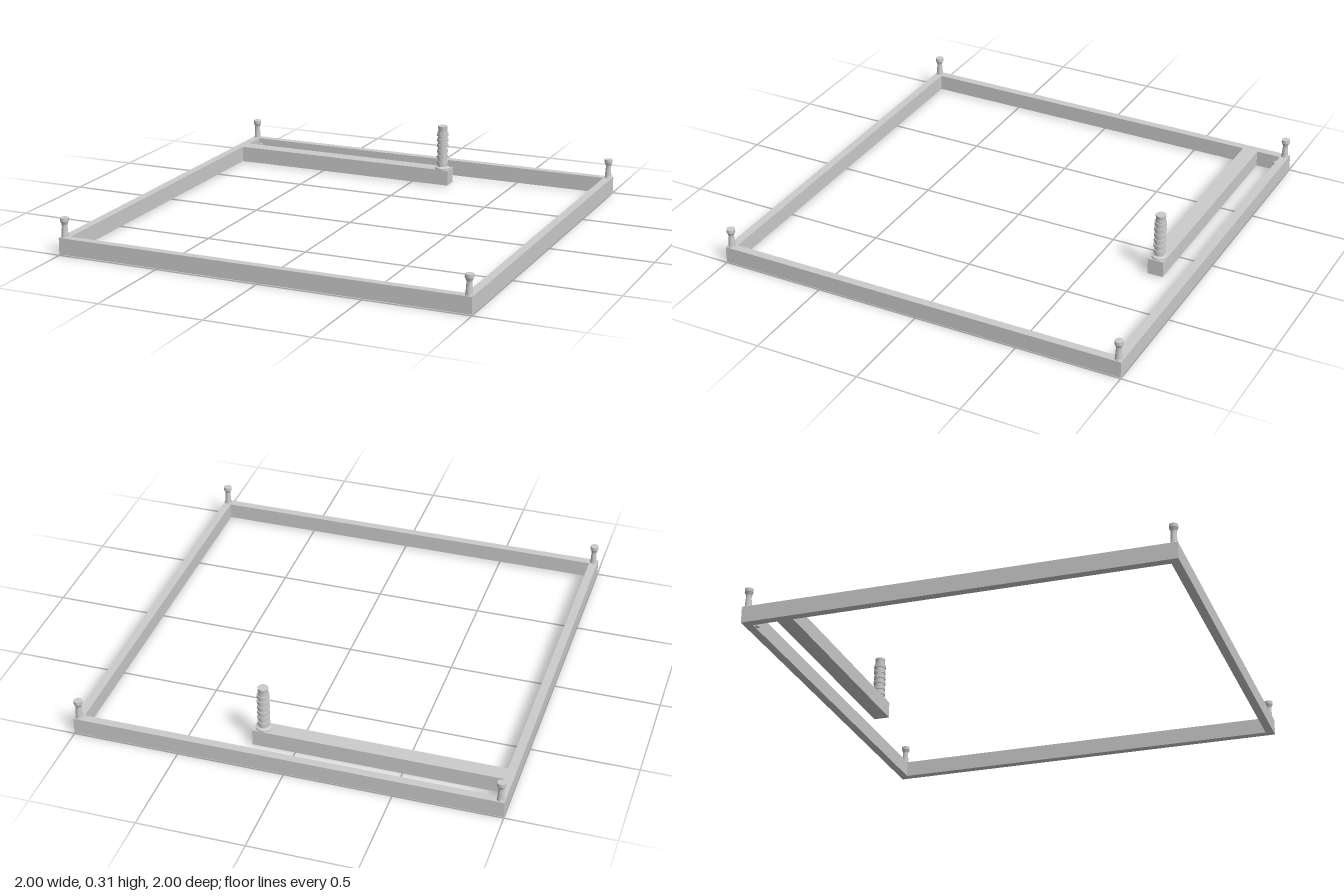
import * as THREE from 'three';

const material = new THREE.MeshStandardMaterial({ color: 0xcccccc, side: THREE.DoubleSide });
const flat = new THREE.MeshStandardMaterial({ color: 0xcccccc, side: THREE.DoubleSide, flatShading: true });

function add(parent, name, geometry, x, y, z, mat = material) {
  const mesh = new THREE.Mesh(geometry, mat);
  mesh.name = name;
  mesh.position.set(x, y, z);
  parent.add(mesh);
  return mesh;
}

// Turned part from [radius, height] pairs
function turned(points, sides = 20) {
  return new THREE.LatheGeometry(points.map(([r, y]) => new THREE.Vector2(r, y)), sides);
}

export function createModel() {
  const model = new THREE.Group();
  const bottom = 0.005, top = 0.083, rail = 0.04;

  // Square perimeter frame with an open middle
  const outline = new THREE.Shape([[-1, -1], [1, -1], [1, 1], [-1, 1]].map(([x, y]) => new THREE.Vector2(x, y)));
  const i = 1 - rail;
  outline.holes.push(new THREE.Path([[-i, -i], [-i, i], [i, i], [i, -i]].map(([x, y]) => new THREE.Vector2(x, y))));
  const frame = new THREE.ExtrudeGeometry(outline, { depth: top - bottom, bevelEnabled: false });
  frame.rotateX(-Math.PI / 2);
  add(model, 'perimeterFrame', frame, 0, bottom, 0);

  // Arm reaching inward from the right rail
  const armStart = -i, armEnd = 0.2, armZ = -0.803;
  add(model, 'arm', new THREE.BoxGeometry(armEnd - armStart, top - bottom, 0.076),
    (armStart + armEnd) / 2, (top + bottom) / 2, armZ);

  // Corner posts with flared heads
  const post = turned([[0, 0], [0.018, 0], [0.016, 0.008], [0.013, 0.05], [0.013, 0.062],
    [0.018, 0.074], [0.02, 0.078], [0.02, 0.094], [0, 0.094]]);
  for (const x of [-1, 1]) for (const z of [-1, 1]) {
    add(model, 'cornerPost', post, x * 0.979, top, z * 0.979, flat);
  }

  // Ribbed tower at the free end of the arm
  const tower = new THREE.Group();
  tower.name = 'ribbedTower';
  tower.position.set(0.157, top, armZ);
  model.add(tower);
  add(tower, 'towerBase', turned([[0, 0], [0.037, 0], [0.037, 0.006], [0.024, 0.012], [0, 0.012]], 24), 0, 0, 0, flat);
  add(tower, 'towerCore', new THREE.CylinderGeometry(0.024, 0.024, 0.2, 24), 0, 0.1, 0);
  for (let k = 0; k < 6; k++) {
    add(tower, 'towerRib', new THREE.CylinderGeometry(0.029, 0.029, 0.015, 24), 0, 0.034 + k * 0.029, 0);
  }
  add(tower, 'towerCap', new THREE.CylinderGeometry(0.025, 0.022, 0.024, 24), 0, 0.21, 0);

  // Small pin inside the back right corner
  add(model, 'cornerPin', new THREE.CylinderGeometry(0.01, 0.01, 0.06, 12), -0.944, 0.03, -0.945);

  return model;
}
